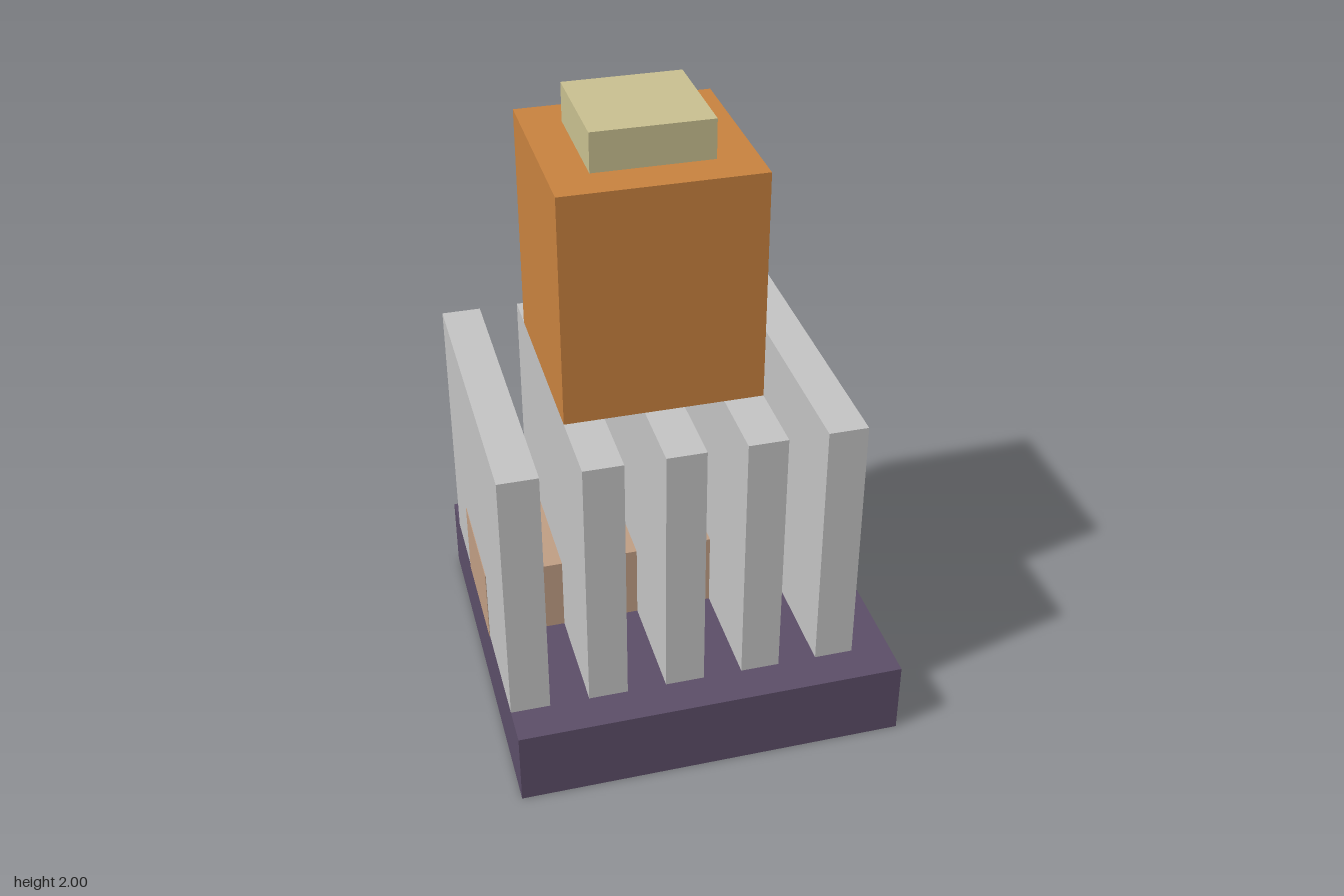
import * as THREE from 'three';

const paint = (name, color) => {
  const m = new THREE.MeshStandardMaterial({ color });
  m.name = name;
  return m;
};

export function createModel() {
  const model = new THREE.Group();
  model.name = 'tower';
  const purple = paint('purple', 0x5c4e68);
  const grey = paint('grey', 0xc4c4c4);
  const tan = paint('tan', 0xc09e84);
  const orange = paint('orange', 0xc8823f);
  const cream = paint('cream', 0xc9c090);
  const yellow = paint('yellow', 0xc8b86c);

  // Box between two corners; grow lifts flush faces clear of their neighbours
  const block = (name, material, min, max, grow = 0) => {
    const size = max.map((v, i) => v - min[i] + 2 * grow);
    const mesh = new THREE.Mesh(new THREE.BoxGeometry(...size), material);
    mesh.position.set(...max.map((v, i) => (v + min[i]) / 2));
    mesh.name = name;
    model.add(mesh);
  };

  block('base', purple, [-0.625, 0, -0.625], [0.625, 0.25, 0.625]);

  // Five upright slabs, evenly spaced
  for (let i = 0; i < 5; i++) {
    const x = -0.625 + i * 0.25;
    block(`slab${i + 1}`, grey, [x, 0.25, -0.5], [x + 0.125, 1.125, 0.5]);
  }

  // Beam running through all slabs, flush with the outer two
  block('crossBeam', tan, [-0.625, 0.25, -0.25], [0.5, 0.5, 0.125], 0.002);

  // Step let into the back edge of the base
  block('backStep', yellow, [-0.375, 0.125, -0.625], [0.25, 0.375, -0.375], 0.002);

  block('upperBlock', orange, [-0.375, 1.125, -0.375], [0.25, 1.875, 0.25]);
  block('cap', cream, [-0.25, 1.875, -0.25], [0.125, 2, 0.125]);

  return model;
}
